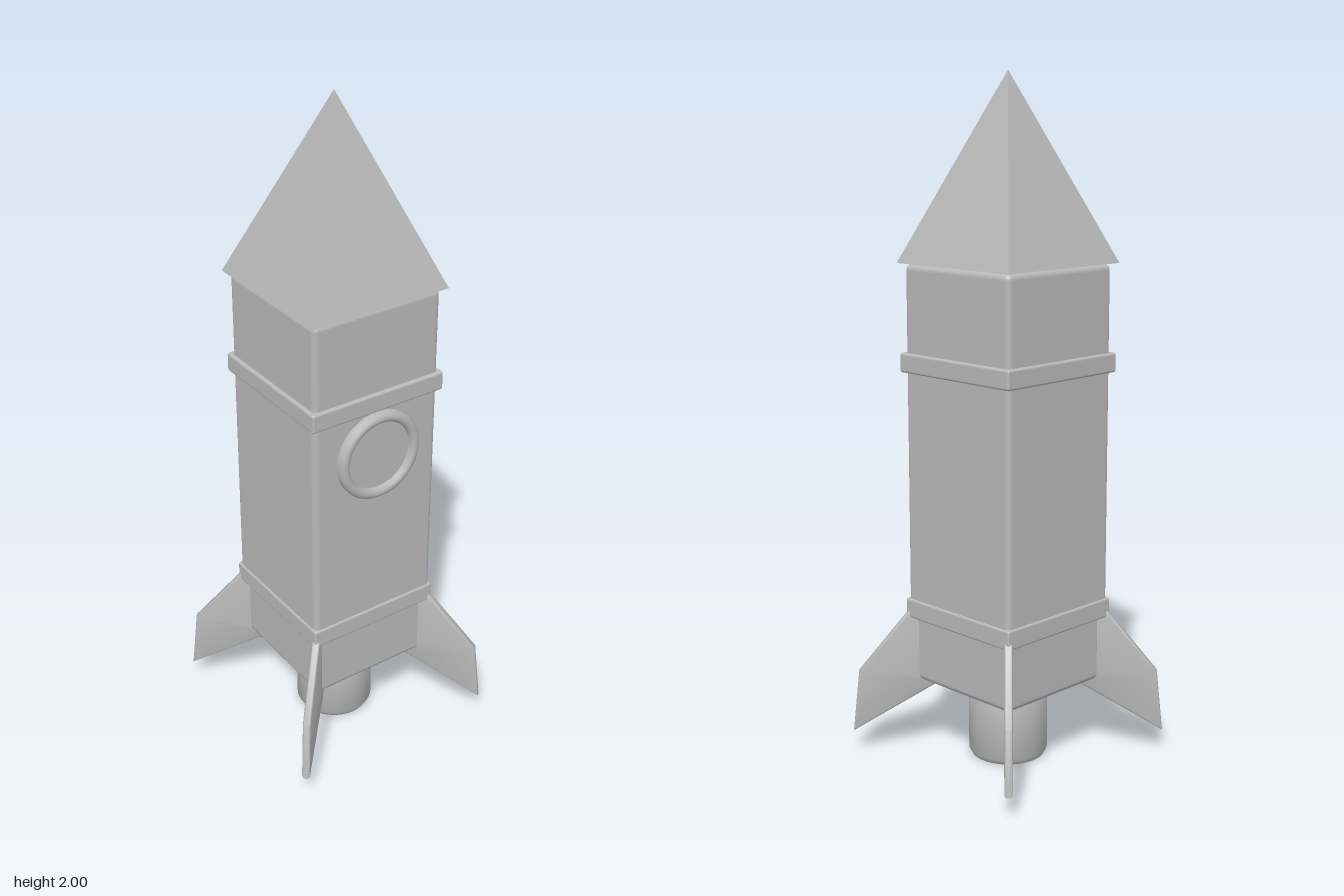
import * as THREE from 'three';
import { RoundedBoxGeometry } from 'three/addons/geometries/RoundedBoxGeometry.js';
import { toCreasedNormals } from 'three/addons/utils/BufferGeometryUtils.js';

export function createModel() {
  const rocket = new THREE.Group();
  rocket.name = 'rocket';
  const grey = new THREE.MeshStandardMaterial({ color: 0xb8b8b8 });
  grey.name = 'light grey';

  const add = (name, geometry, parent = rocket) => {
    const mesh = new THREE.Mesh(geometry, grey);
    mesh.name = name;
    parent.add(mesh);
    return mesh;
  };

  // Square block with rounded edges, from y0 to y1
  const block = (name, half, y0, y1, radius) => {
    const mesh = add(name, new RoundedBoxGeometry(half * 2, y1 - y0, half * 2, 4, radius));
    mesh.position.y = (y0 + y1) / 2;
  };
  block('body', 0.208, 0.44, 1.468, 0.018);
  block('tailSection', 0.195, 0.23, 0.5, 0.02);
  block('upperBand', 0.219, 1.158, 1.215, 0.007);
  block('lowerBand', 0.213, 0.425, 0.484, 0.007);

  // Four-sided pointed nose
  const noseGeometry = new THREE.ConeGeometry(0.222 * Math.SQRT2, 0.53, 4).rotateY(Math.PI / 4);
  const nose = add('noseCone', toCreasedNormals(noseGeometry, 0.3));
  nose.position.y = 1.735;

  // Engine nozzle with softened rims
  const nozzleProfile = [
    [0, 0], [0.1, 0], [0.108, 0.004], [0.117, 0.02],
    [0.117, 0.205], [0.112, 0.216], [0.1, 0.222], [0.1, 0.24], [0, 0.24],
  ].map(([r, y]) => new THREE.Vector2(r, y));
  add('nozzle', toCreasedNormals(new THREE.LatheGeometry(nozzleProfile, 48), 0.6));

  // Round porthole on the front
  const porthole = new THREE.Group();
  porthole.name = 'porthole';
  porthole.position.set(0, 1.02, 0.208);
  rocket.add(porthole);
  const ringProfile = [
    [0.104, 0], [0.104, 0.016], [0.109, 0.024], [0.119, 0.027],
    [0.129, 0.024], [0.135, 0.016], [0.135, 0],
  ].map(([r, y]) => new THREE.Vector2(r, y)).reverse();
  add('portholeRing', new THREE.LatheGeometry(ringProfile, 48).rotateX(Math.PI / 2), porthole);
  porthole.children[0].material = grey;
  const glass = add('portholeGlass', new THREE.CylinderGeometry(0.106, 0.106, 0.009, 48), porthole);
  glass.rotation.x = Math.PI / 2;
  glass.position.z = 0.0045;

  // Swept fins on the four corners, rounded at the edges
  const outline = [[0.18, 0.24], [0.22, 0.224], [0.457, 0.078], [0.436, 0.255], [0.28, 0.45], [0.18, 0.45]];
  const finShape = new THREE.Shape(outline.map(([r, y]) => new THREE.Vector2(r, y)));
  const finGeometry = toCreasedNormals(new THREE.ExtrudeGeometry(finShape, {
    depth: 0.008, bevelEnabled: true, bevelThickness: 0.008, bevelSize: 0.008, bevelSegments: 3,
  }).translate(0, 0, -0.004), 0.7);
  for (let i = 0; i < 4; i++) {
    add('fin' + (i + 1), finGeometry).rotation.y = Math.PI / 4 + i * Math.PI / 2;
  }

  // Lathe rings can wind inwards: make the porthole ring face outwards
  const ring = porthole.children[0].geometry;
  const normal = ring.attributes.normal;
  const position = ring.attributes.position;
  const middle = 3;
  if (normal.getZ(middle) * position.getZ(middle) < 0) {
    ring.index.array.reverse();
    ring.computeVertexNormals();
  }
  return rocket;
}
